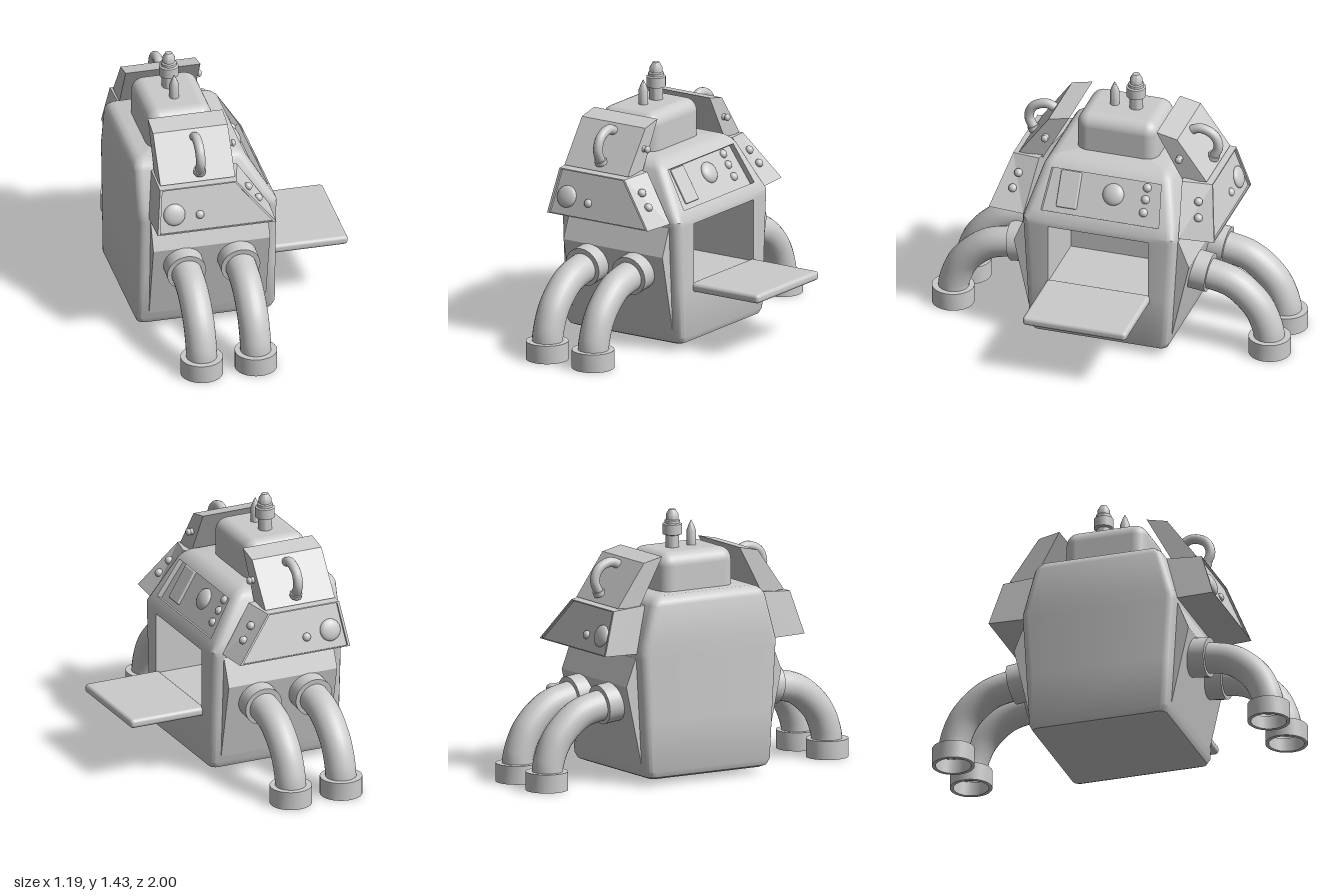
import * as THREE from 'three';
import { toCreasedNormals } from 'three/addons/utils/BufferGeometryUtils.js';
import { RoundedBoxGeometry } from 'three/addons/geometries/RoundedBoxGeometry.js';

const material = new THREE.MeshStandardMaterial({ color: 0xcccccc, side: THREE.DoubleSide });
const V = (x, y, z) => new THREE.Vector3(x, y, z);

function add(parent, name, geometry, x = 0, y = 0, z = 0) {
  const mesh = new THREE.Mesh(geometry, material);
  mesh.name = name;
  mesh.position.set(x, y, z);
  parent.add(mesh);
  return mesh;
}

// Closed skin through rings of points; skip(level, point) leaves an opening
function loft(rings, skip = () => false, crease = 0.6) {
  const out = [];
  const tri = (...points) => points.forEach((p) => out.push(p.x, p.y, p.z));
  const n = rings[0].length;
  for (let k = 0; k < rings.length - 1; k++) {
    for (let i = 0; i < n; i++) {
      if (skip(k, i)) continue;
      const j = (i + 1) % n, a = rings[k], b = rings[k + 1];
      tri(a[i], b[i], a[j]);
      tri(a[j], b[i], b[j]);
    }
  }
  const centre = (ring) => ring.reduce((s, p) => s.add(p), V(0, 0, 0)).divideScalar(n);
  const first = rings[0], last = rings[rings.length - 1];
  const c0 = centre(first), c1 = centre(last);
  for (let i = 0; i < n; i++) {
    const j = (i + 1) % n;
    tri(c0, first[i], first[j]);
    tri(c1, last[j], last[i]);
  }
  const g = new THREE.BufferGeometry();
  g.setAttribute('position', new THREE.Float32BufferAttribute(out, 3));
  return toCreasedNormals(g, crease);
}

// Walls and floor sunk behind an opening
function recess(corners, offset) {
  const sunk = corners.map((p) => p.clone().add(offset));
  const out = [];
  const quad = (a, b, c, d) => [a, b, c, a, c, d].forEach((p) => out.push(p.x, p.y, p.z));
  for (let i = 0; i < 4; i++) {
    const j = (i + 1) % 4;
    quad(corners[i], corners[j], sunk[j], sunk[i]);
  }
  quad(...sunk);
  const g = new THREE.BufferGeometry();
  g.setAttribute('position', new THREE.Float32BufferAttribute(out, 3));
  g.computeVertexNormals();
  return g;
}

// Section given as [z, y] points, swept from x0 to x1
function prism(section, x0, x1) {
  const shape = new THREE.Shape(section.map(([z, y]) => new THREE.Vector2(z, y)));
  return new THREE.ExtrudeGeometry(shape, { depth: x1 - x0, bevelEnabled: false })
    .rotateY(-Math.PI / 2).translate(x1, 0, 0);
}

// Domed knob facing along a normal
function knob(parent, name, r, position, normal, flat = 0.5) {
  const mesh = add(parent, name, new THREE.SphereGeometry(r, 24, 12).scale(1, flat, 1));
  mesh.position.copy(position);
  mesh.quaternion.setFromUnitVectors(V(0, 1, 0), normal.clone().normalize());
  return mesh;
}

function lathe(parent, name, profile, x, y, z) {
  const g = new THREE.LatheGeometry(profile.map(([r, h]) => new THREE.Vector2(r, h)), 28);
  return add(parent, name, toCreasedNormals(g, 0.6), x, y, z);
}

// Body outline by height
const frontX = (y) => (y < 0.72 ? 0.17 : 0.17 - (y - 0.72) * 0.6);
const halfZ = (y) => (y < 0.72 ? 0.39 + (y - 0.03) * 0.058 : 0.43 - (y - 0.72) * 0.28);
const openZ = (y) => (y < 0.75 ? 0.28 : 0.33 - (y - 0.77) * 0.12);

function bodyRing([y, inset]) {
  const x0 = -0.6 + inset, x1 = frontX(y) - inset, h = halfZ(y) - inset;
  const r = Math.max(0.045 - inset * 0.5, 0.015), d = Math.min(openZ(y), h - r);
  const ring = [V(x1, y, d)];
  [[x1 - r, h - r], [x0 + r, h - r], [x0 + r, r - h], [x1 - r, r - h]].forEach(([cx, cz], q) => {
    for (let s = 0; s <= 4; s++) {
      const t = (q + s / 4) * Math.PI / 2;
      ring.push(V(cx + r * Math.cos(t), y, cz + r * Math.sin(t)));
    }
  });
  ring.push(V(x1, y, -d));
  return ring;
}

function buildBody(root) {
  const levels = [[0.03, 0.045], [0.043, 0.015], [0.075, 0], [0.35, 0], [0.69, 0], [0.72, 0],
    [0.77, 0], [0.97, 0], [0.992, 0.008], [1.01, 0.025], [1.02, 0.05]];
  add(root, 'body', loft(levels.map(bodyRing), (k, i) => i === 21 && (k === 3 || k === 6)));
  const opening = (lo, hi) => [V(frontX(lo), lo, openZ(lo)), V(frontX(lo), lo, -openZ(lo)),
    V(frontX(hi), hi, -openZ(hi)), V(frontX(hi), hi, openZ(hi))];
  add(root, 'ovenCavity', recess(opening(0.35, 0.69), V(-0.4, 0, 0)));
  add(root, 'controlRecess', recess(opening(0.77, 0.97), V(-0.025, -0.015, 0)));
  add(root, 'openDoor', new RoundedBoxGeometry(0.44, 0.05, 0.58, 3, 0.02), 0.37, 0.337, 0);

  // Controls on the sloping panel
  const normal = V(0.857, 0.514, 0);
  const onPanel = (y, z) => V(frontX(y) - 0.03, y - 0.01, z);
  knob(root, 'mainDial', 0.06, onPanel(0.885, -0.045), normal);
  [0.94, 0.885, 0.825].forEach((y) => knob(root, 'panelButton', 0.024, onPanel(y, -0.225), normal, 0.9));
  const plate = add(root, 'panelPlate', new RoundedBoxGeometry(0.03, 0.2, 0.115, 2, 0.008));
  plate.position.copy(onPanel(0.875, 0.2));
  plate.rotation.z = Math.atan2(0.514, 0.857);

  // Raised top with two stacks
  add(root, 'topHousing', new RoundedBoxGeometry(0.36, 0.4, 0.455, 5, 0.07), -0.31, 1.025, 0);
  lathe(root, 'chimney', [[0.037, 0], [0.037, 0.07], [0.052, 0.075], [0.052, 0.13], [0.042, 0.135],
    [0.042, 0.15], [0.034, 0.155], [0.034, 0.18], [0.018, 0.208], [0, 0.21]], -0.31, 1.22, -0.06);
  lathe(root, 'pointedStack', [[0.026, 0], [0.026, 0.08], [0.013, 0.115], [0, 0.14]], -0.31, 1.22, 0.06);
}

// Everything attached to one z side
function buildSide(name) {
  const side = new THREE.Group();
  side.name = name;
  add(side, 'pipeMount', prism([[0.3, 0.07], [0.386, 0.07], [0.49, 0.54], [0.43, 0.69], [0.3, 0.69]], -0.53, 0.11));

  // Flared control box with a sunk face
  const inner = [V(-0.51, 0.97, 0.34), V(-0.05, 0.97, 0.4), V(0.12, 0.715, 0.434), V(-0.54, 0.715, 0.4)];
  const outer = [V(-0.51, 0.955, 0.557), V(-0.09, 0.955, 0.557), V(0.11, 0.72, 0.63), V(-0.54, 0.72, 0.63)];
  const mid = V(-0.26, 0.837, 0.593);
  const rim = outer.map((p) => p.clone().lerp(mid, 0.05));
  const sunk = rim.map((p) => p.clone().add(V(0, -0.004, -0.012)));
  add(side, 'controlBox', loft([inner, outer, rim, sunk], undefined, 0.2));
  const faceNormal = V(0, 0.3, 0.95);
  knob(side, 'boxDial', 0.06, V(-0.44, 0.815, 0.59), faceNormal, 0.4);
  knob(side, 'boxButton', 0.023, V(-0.3, 0.8, 0.594), faceNormal, 0.8);
  [0.32, 0.6].forEach((t) => {
    const a = outer[1].clone().lerp(outer[2], t), b = inner[1].clone().lerp(inner[2], t);
    knob(side, 'endButton', 0.023, a.lerp(b, 0.45), V(0.77, 0.6, 0.2), 0.9);
  });

  // Leaning upper panel with its handle
  add(side, 'upperPanel', prism([[0.39, 0.955], [0.525, 0.965], [0.36, 1.195], [0.245, 1.22]], -0.5, -0.09));
  const hook = new THREE.CatmullRomCurve3([V(-0.28, 1.14, 0.35), V(-0.28, 1.175, 0.43), V(-0.28, 1.145, 0.505),
    V(-0.28, 1.08, 0.53), V(-0.28, 1.0, 0.495)]);
  add(side, 'handle', new THREE.TubeGeometry(hook, 28, 0.026, 14));
  const collar = add(side, 'handleCollar', new THREE.CylinderGeometry(0.033, 0.033, 0.025, 20), -0.28, 1.015, 0.503);
  collar.rotation.x = 0.4;
  const pin = add(side, 'sidePin', new THREE.CylinderGeometry(0.012, 0.02, 0.03, 16), -0.08, 1.085, 0.375);
  pin.rotation.z = -Math.PI / 2;
  knob(side, 'sidePinTip', 0.02, V(-0.065, 1.085, 0.375), V(1, 0, 0), 0.7);

  // Bent pipe legs
  for (const x of [-0.363, -0.066]) {
    const path = new THREE.CatmullRomCurve3([V(x, 0.435, 0.45), V(x, 0.423, 0.55), V(x, 0.385, 0.69),
      V(x, 0.27, 0.82), V(x, 0.14, 0.877), V(x, 0.07, 0.885)]);
    add(side, 'pipeLeg', new THREE.TubeGeometry(path, 24, 0.083, 24));
    const flange = add(side, 'pipeFlange', new THREE.CylinderGeometry(0.107, 0.107, 0.1, 28), x, 0.432, 0.505);
    flange.rotation.x = Math.PI / 2 + 0.12;
    lathe(side, 'pipeFoot', [[0, 0.08], [0.095, 0.08], [0.095, 0], [0.114, 0], [0.114, 0.1], [0.08, 0.1]], x, 0, 0.886);
  }
  return side;
}

export function createModel() {
  const root = new THREE.Group();
  root.name = 'robotOven';
  buildBody(root);
  const front = buildSide('frontSide');
  const back = buildSide('backSide');
  back.scale.z = -1;
  root.add(front, back);
  return root;
}
